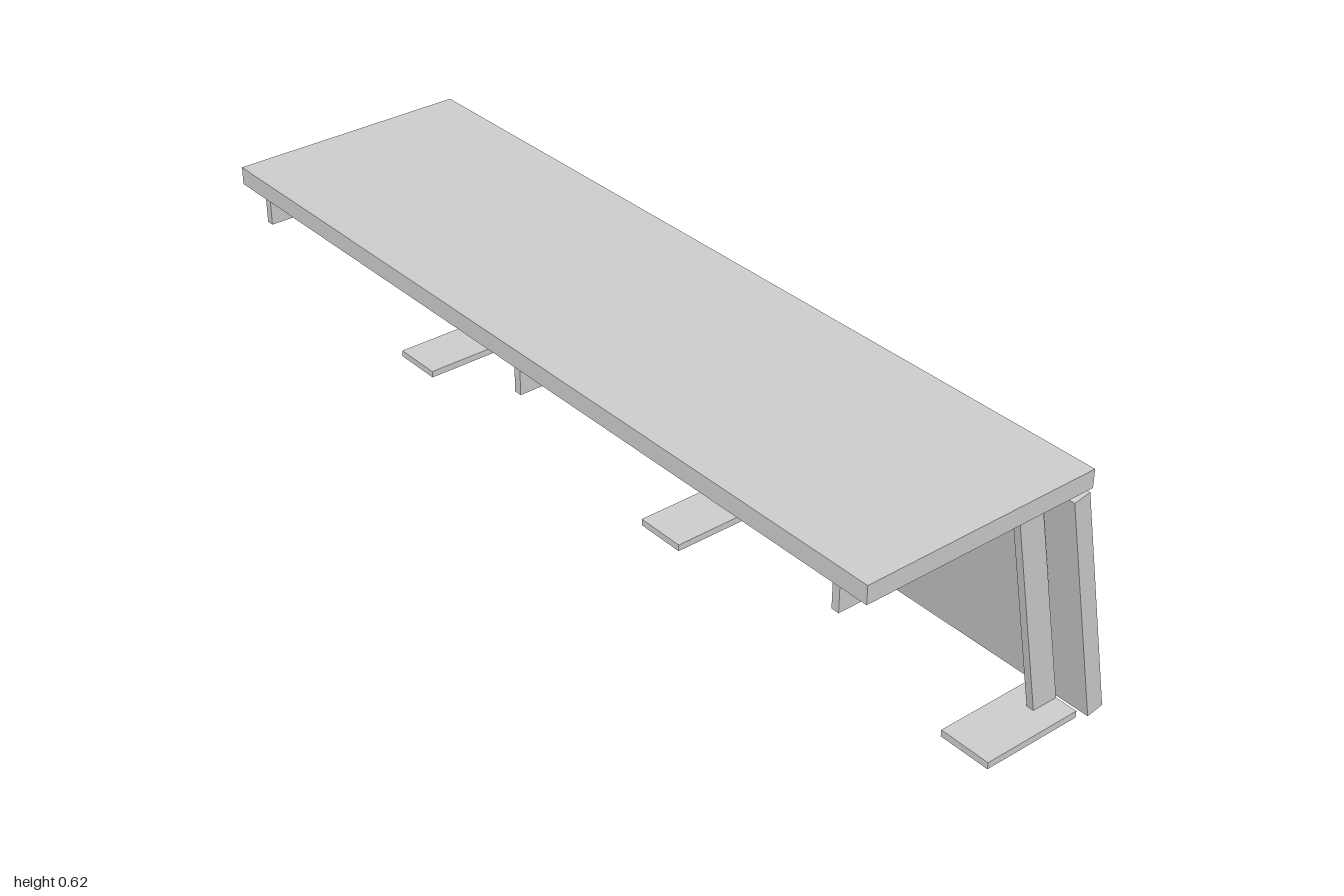
import * as THREE from 'three';

const material = new THREE.MeshStandardMaterial({ color: 0xcccccc, flatShading: true });

// Box given by its x and y limits, its depth and its middle in z
function slab(name, x0, x1, y0, y1, depth, z = 0) {
  const mesh = new THREE.Mesh(new THREE.BoxGeometry(x1 - x0, y1 - y0, depth), material);
  mesh.position.set((x0 + x1) / 2, (y0 + y1) / 2, z);
  mesh.name = name;
  return mesh;
}

// Side profile in x, y extruded along z and centred on the given z
function profile(name, points, depth, z = 0) {
  const shape = new THREE.Shape(points.map(([x, y]) => new THREE.Vector2(x, y)));
  const geometry = new THREE.ExtrudeGeometry(shape, { depth, bevelEnabled: false });
  geometry.translate(0, 0, -depth / 2);
  const mesh = new THREE.Mesh(geometry, material);
  mesh.position.z = z;
  mesh.name = name;
  return mesh;
}

export function createModel() {
  const model = new THREE.Group();
  model.name = 'counterDesk';

  // Long flat top
  model.add(slab('tabletop', -0.333, 0.227, 0.575, 0.616, 2));

  // Slanted front panel
  model.add(profile('modestyPanel',
    [[0.292, 0.013], [0.332, 0.021], [0.221, 0.568], [0.181, 0.561]], 2));

  // Three thin cantilever brackets, each on a flat foot
  const bracket = [[-0.323, 0.509], [0.125, 0.509], [0.22, 0.016],
    [0.284, 0.016], [0.174, 0.574], [-0.323, 0.574]];
  for (const z of [-0.915, 0, 0.915]) {
    const support = new THREE.Group();
    support.name = 'support';
    support.add(profile('bracket', bracket, 0.018, z));
    support.add(slab('foot', 0.04, 0.284, 0, 0.016, 0.125, z));
    model.add(support);
  }
  return model;
}
